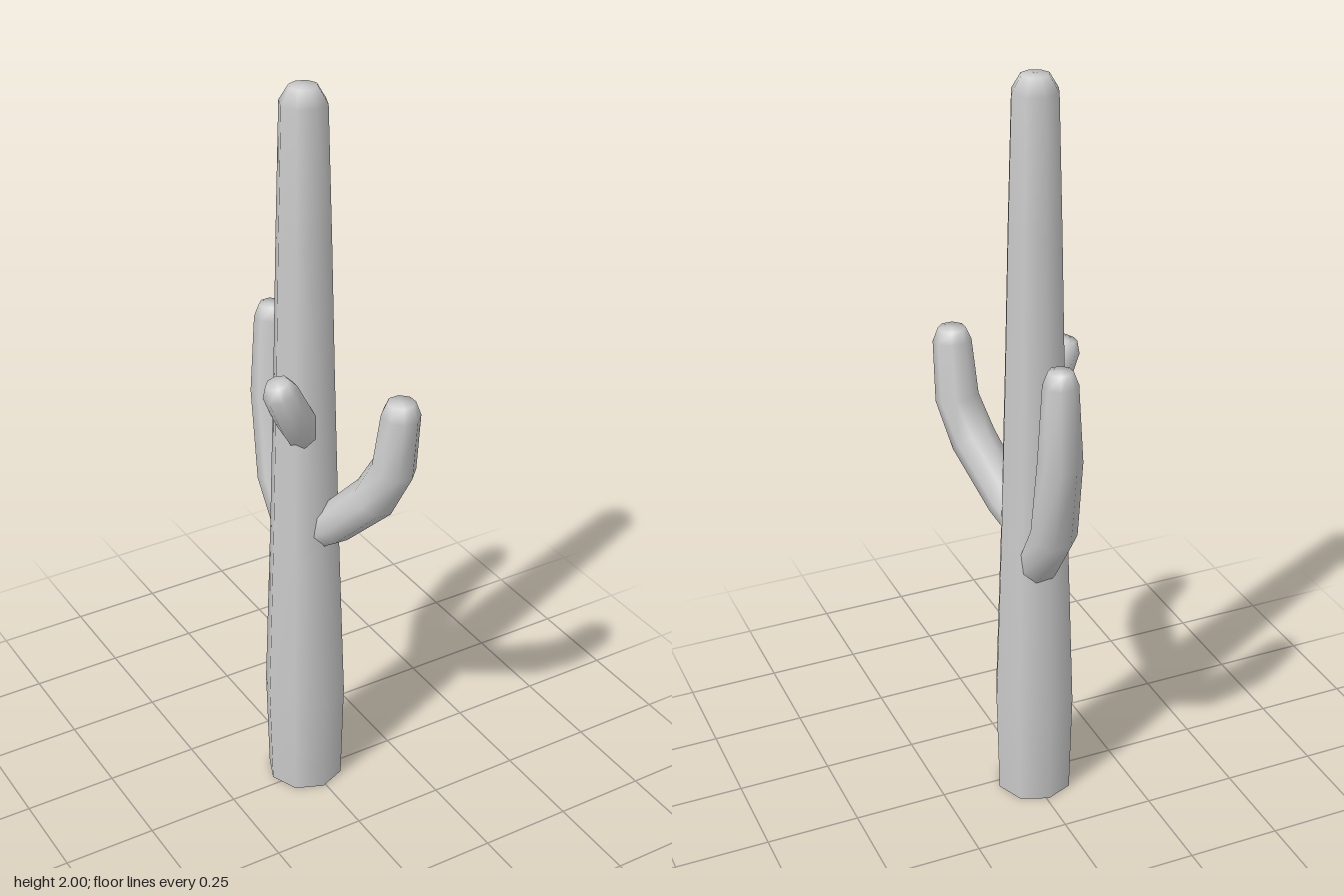
import * as THREE from 'three';

const SIDES = 8;
const material = new THREE.MeshStandardMaterial({ color: 0xcccccc });

// Eight-sided smooth tube through [x, y, z, radius] stations, closed by a rounded tip
function armGeometry(stations) {
  const points = stations.map(([x, y, z]) => new THREE.Vector3(x, y, z));
  const positions = [];
  const indices = [];
  stations.forEach(([, , , radius], i) => {
    const before = points[Math.max(i - 1, 0)];
    const after = points[Math.min(i + 1, points.length - 1)];
    const tangent = after.clone().sub(before).normalize();
    const u = new THREE.Vector3(1, 0, 0).projectOnPlane(tangent).normalize();
    const v = new THREE.Vector3().crossVectors(tangent, u);
    for (let j = 0; j < SIDES; j++) {
      const a = ((j + 0.5) / SIDES) * Math.PI * 2;
      const p = points[i].clone()
        .addScaledVector(u, Math.cos(a) * radius)
        .addScaledVector(v, Math.sin(a) * radius);
      positions.push(p.x, p.y, p.z);
    }
  });
  const last = (stations.length - 1) * SIDES;
  const tip = last + SIDES;
  positions.push(...points[points.length - 1].toArray());
  for (let j = 0; j < SIDES; j++) {
    const k = (j + 1) % SIDES;
    for (let b = 0; b < last; b += SIDES) {
      indices.push(b + j, b + k, b + SIDES + k, b + j, b + SIDES + k, b + SIDES + j);
    }
    indices.push(last + j, last + k, tip);
  }
  const geometry = new THREE.BufferGeometry();
  geometry.setAttribute('position', new THREE.Float32BufferAttribute(positions, 3));
  geometry.setIndex(indices);
  geometry.computeVertexNormals();
  return geometry;
}

export function createModel() {
  const model = new THREE.Group();
  const add = (name, geometry) => {
    const mesh = new THREE.Mesh(geometry, material);
    mesh.name = name;
    model.add(mesh);
    return mesh;
  };

  // Tapering trunk with a domed top
  const profile = [
    [0.103, 0], [0.11, 0.29], [0.092, 0.8], [0.079, 1.25],
    [0.07, 1.62], [0.06, 1.96], [0.036, 2], [0, 2],
  ].map(([r, y]) => new THREE.Vector2(r, y));
  add('trunk', new THREE.LatheGeometry(profile, SIDES)).position.set(-0.007, 0, -0.027);

  // Flat underside
  const base = add('trunkBase', new THREE.CircleGeometry(0.103, SIDES));
  base.rotation.x = Math.PI / 2;
  base.position.set(-0.007, 0, -0.027);

  // Front arm, bending outward then up
  add('frontArm', armGeometry([
    [0.005, 0.79, -0.01, 0.05], [0.03, 0.845, 0.06, 0.056],
    [0.075, 0.975, 0.18, 0.06], [0.1, 1.08, 0.228, 0.057],
    [0.103, 1.235, 0.248, 0.05], [0.103, 1.27, 0.248, 0.036],
  ]));

  // Tall back arm
  add('backArm', armGeometry([
    [0.0, 0.68, -0.04, 0.05], [0.008, 0.75, -0.105, 0.055],
    [0.01, 0.87, -0.186, 0.059], [0.02, 1.1, -0.24, 0.056],
    [0.023, 1.31, -0.245, 0.044], [0.023, 1.345, -0.245, 0.031],
  ]));

  // Short side arm
  add('sideArm', armGeometry([
    [-0.03, 1.1, 0.005, 0.044], [-0.06, 1.155, 0.025, 0.05],
    [-0.09, 1.21, 0.036, 0.048], [-0.114, 1.26, 0.04, 0.045],
    [-0.122, 1.287, 0.04, 0.03],
  ]));

  return model;
}
